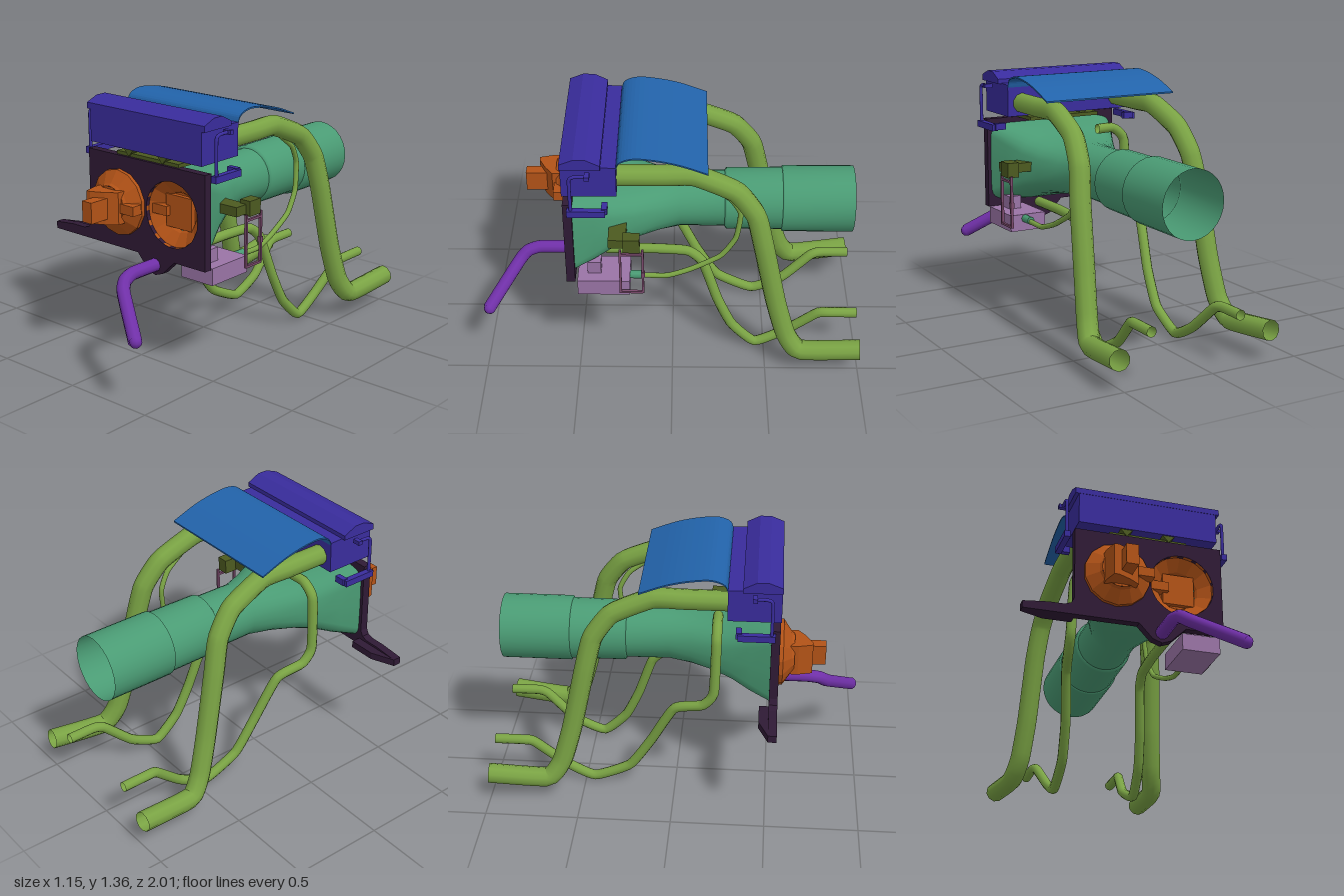
import * as THREE from 'three';

const CX = 0.0875, CY = 0.845; // duct axis, also the mirror plane in x
const mat = (color, side = THREE.FrontSide, flatShading = false) =>
  new THREE.MeshStandardMaterial({ color, side, flatShading });
const D = THREE.DoubleSide;
const M = {
  duct: mat(0x4a9b74, D), pipe: mat(0x7aa344, D), navy: mat(0x392c9c), sheet: mat(0x2263aa, D),
  plate: mat(0x2f1a35), lamp: mat(0xb35317, D, true), purple: mat(0x7030a8, D),
  mauve: mat(0x9a74a6), frame: mat(0x7a4a6c), olive: mat(0x4c5a20),
};

export function createModel() {
  const root = new THREE.Group();
  const add = (name, geo, material, parent = root) => {
    const m = new THREE.Mesh(geo, material);
    m.name = name;
    parent.add(m);
    return m;
  };
  // box from its min and max corners
  const box = (name, a, b, material, parent) => {
    const g = new THREE.BoxGeometry(b[0] - a[0], b[1] - a[1], b[2] - a[2]);
    g.translate((a[0] + b[0]) / 2, (a[1] + b[1]) / 2, (a[2] + b[2]) / 2);
    return add(name, g, material, parent);
  };
  const poly = pts => new THREE.Shape(pts.map(p => new THREE.Vector2(...p)));
  const extrude = (shape, depth) => new THREE.ExtrudeGeometry(shape, { depth, bevelEnabled: false, curveSegments: 14 });
  // (z, y) profile extruded along x from x0 to x1
  const alongX = (pts, x0, x1) => extrude(poly(pts), x1 - x0).rotateY(-Math.PI / 2).scale(1, 1, 1).translate(x1, 0, 0);
  // (x, z) profile extruded along y from y0 to y1
  const alongY = (pts, y0, y1) => extrude(poly(pts), y1 - y0).rotateX(Math.PI / 2).translate(0, y1, 0);
  const pipe = (name, pts, r, material = M.pipe) => {
    const c = new THREE.CatmullRomCurve3(pts.map(p => new THREE.Vector3(...p)), false, 'catmullrom', 0.25);
    return add(name, new THREE.TubeGeometry(c, pts.length * 7, r, 10), material);
  };
  const mirror = pts => pts.map(([x, y, z]) => [2 * CX - x, y, z]);

  // Face plate with a round opening, side fin and lower tab
  const face = poly([[-0.575, 0.597], [0.03, 0.597], [0.1, 0.52], [0.15, 0.502], [0.2, 0.52], [0.28, 0.597],
    [0.485, 0.597], [0.485, 1.09], [-0.31, 1.09], [-0.31, 0.69], [-0.325, 0.66], [-0.36, 0.648], [-0.44, 0.648], [-0.575, 0.635]]);
  face.holes.push(new THREE.Path().absarc(0.265, CY, 0.172, 0, Math.PI * 2, true));
  add('facePlate', extrude(face, 0.045).translate(0, 0, 0.5), M.plate);
  add('sideFin', alongY([[-0.575, 0.5], [-0.45, 0.45], [-0.3, 0.45], [-0.3, 0.54], [-0.575, 0.54]], 0.598, 0.636), M.plate);

  // Twin lamps: one stands proud, the other is the same form turned inward
  const makeLamp = name => {
    const g = new THREE.Group();
    g.name = name;
    const rim = [[0.174, 0], [0.174, 0.02], [0.11, 0.065], [0.1, 0.08]].map(p => new THREE.Vector2(...p));
    add('lampDish', new THREE.LatheGeometry(rim, 14).rotateX(Math.PI / 2), M.lamp, g);
    const cap = new THREE.Shape().absarc(0, 0, 0.1, 0, Math.PI * 2);
    cap.holes.push(new THREE.Path([[-0.07, -0.07], [-0.07, 0.07], [0.07, 0.07], [0.07, -0.07]].map(p => new THREE.Vector2(...p))));
    add('lampFace', new THREE.ShapeGeometry(cap, 7).translate(0, 0, 0.08), M.lamp, g);
    add('lampHousing', alongY([[-0.085, 0.055], [0.085, 0.055], [0.085, 0.1], [0.03, 0.14], [-0.04, 0.175], [-0.065, 0.175], [-0.085, 0.1]],
      -0.085, 0.085), M.lamp, g);
    box('lampNose', [-0.025, -0.055, 0.1], [0.04, 0.055, 0.245], M.lamp, g);
    box('lampArm', [0.06, -0.025, 0.03], [0.176, 0.025, 0.09], M.lamp, g);
    g.position.set(-0.089, CY, 0.545);
    root.add(g);
    return g;
  };
  makeLamp('outerLamp');
  const inner = makeLamp('innerLamp');
  inner.position.x = 0.264;
  inner.rotation.y = Math.PI;

  // Duct: rounded rectangle narrowing to a round pipe, then two sleeves
  const loft = sections => {
    const n = 28, pos = [], idx = [];
    sections.forEach(([z, hx, hy, e], s) => {
      for (let i = 0; i < n; i++) {
        const a = i / n * Math.PI * 2, c = Math.cos(a), q = Math.sin(a);
        pos.push(CX + hx * Math.sign(c) * Math.abs(c) ** (2 / e), CY + hy * Math.sign(q) * Math.abs(q) ** (2 / e), z);
        if (s) {
          const j = (i + 1) % n, p = (s - 1) * n, t = s * n;
          idx.push(p + i, t + i, t + j, p + i, t + j, p + j);
        }
      }
    });
    const g = new THREE.BufferGeometry();
    g.setAttribute('position', new THREE.Float32BufferAttribute(pos, 3));
    g.setIndex(idx.map((_, k) => idx[k - k % 3 + [0, 2, 1][k % 3]]).reverse());
    g.computeVertexNormals();
    return g;
  };
  add('ductFunnel', loft([[0.5, 0.38, 0.217, 8], [0.4, 0.34, 0.2, 5], [0.3, 0.295, 0.168, 3.5], [0.2, 0.25, 0.15, 2.8],
    [0.08, 0.195, 0.144, 2.3], [-0.04, 0.148, 0.145, 2], [-0.28, 0.148, 0.148, 2]]), M.duct);
  add('ductSleeve', loft([[-0.27, 0.148, 0.148, 2], [-0.28, 0.163, 0.163, 2], [-0.58, 0.165, 0.165, 2]]), M.duct);
  add('ductEnd', loft([[-0.57, 0.165, 0.165, 2], [-0.575, 0.175, 0.175, 2], [-0.945, 0.175, 0.175, 2]]), M.duct);

  // Top box with lid and curved cover sheet
  add('topBox', alongX([[0.275, 1.13], [0.548, 1.13], [0.548, 1.31], [0.275, 1.3]], -0.29, 0.465), M.navy);
  add('boxLid', alongX([[0.35, 1.3], [0.55, 1.3], [0.55, 1.332], [0.48, 1.36], [0.42, 1.36], [0.35, 1.325]], -0.31, 0.485), M.navy);
  const arc = new THREE.CatmullRomCurve3([[0.275, 1.295], [0.26, 1.33], [0.2, 1.355], [0.1, 1.35], [-0.03, 1.322], [-0.175, 1.268]]
    .map(([z, y]) => new THREE.Vector3(z, y, 0))).getPoints(20).map(p => [p.x, p.y]);
  add('coverSheet', alongX([...arc, ...arc.map(([z, y]) => [z, y - 0.008]).reverse()], -0.29, 0.465), M.sheet);

  // Lid arms and hinge brackets on both sides
  for (const s of [-1, 1]) {
    const x = CX + s * 0.43;
    const arm = [[x, 1.285, 0.4], [x, 1.285, 0.47], [x, 1.265, 0.5], [x, 1.07, 0.5]];
    pipe('lidArm', arm, 0.009, M.navy);
    box('lidPivot', [x - 0.022, 1.275, 0.4], [x + 0.022, 1.297, 0.425], M.navy);
    box('hingeBar', [x - 0.016, 1.05, 0.33], [x + 0.016, 1.085, 0.52], M.navy);
    const bx = x - s * 0.03;
    box('hingeFoot', [bx - 0.03, 1.055, 0.32], [bx + 0.03, 1.09, 0.35], M.navy);
  }
  // Wedge supports between plate and box
  for (const x of [-0.03, 0.2])
    add('wedgeSupport', extrude(poly([[x, 1.092], [x + 0.033, 1.13], [x - 0.033, 1.13]]), 0.19).translate(0, 0, 0.35), M.olive);
  box('topRail', [-0.12, 1.088, 0.34], [0.3, 1.108, 0.53], M.olive);

  // Main pipes, mirrored
  const main = [[-0.205, 1.2, 0.28], [-0.205, 1.2, 0.05], [-0.205, 1.2, -0.11], [-0.22, 1.11, -0.32], [-0.24, 0.98, -0.42],
    [-0.26, 0.8, -0.465], [-0.28, 0.45, -0.54], [-0.3, 0.24, -0.6], [-0.325, 0.14, -0.68], [-0.35, 0.165, -1]];
  pipe('mainPipeRight', main, 0.054);
  pipe('mainPipeLeft', mirror(main), 0.054);

  // Slender lower pipes share one tail
  const tail = [[-0.14, 0.03, -0.45], [-0.135, 0.11, -0.62], [-0.16, 0.255, -0.78], [-0.17, 0.27, -0.84], [-0.17, 0.27, -0.99]];
  pipe('lowerPipeRight', [[-0.05, 1.03, 0.22], [-0.15, 1.03, 0.22], [-0.22, 0.96, 0.22], [-0.235, 0.66, 0.21], [-0.23, 0.58, 0.15],
    [-0.2, 0.535, 0], [-0.165, 0.3, -0.13], [-0.15, 0.12, -0.25], ...tail], 0.027);
  pipe('lowerPipeLeft', [[0.25, 0.63, 0.35], [0.25, 0.63, 0.1], [0.255, 0.62, -0.08], [0.265, 0.55, -0.16],
    [0.29, 0.32, -0.24], [0.305, 0.15, -0.32], ...mirror(tail)], 0.027);
  pipe('thinLine', [[0.4, 0.575, 0.24], [0.4, 0.57, 0.03], [0.39, 0.61, -0.1], [0.38, 0.69, -0.25], [0.37, 0.8, -0.325],
    [0.36, 0.95, -0.345], [0.37, 1.05, -0.29], [0.38, 1.15, -0.15]], 0.014);

  // Front crank pipe
  pipe('crankPipe', [[0.15, 0.557, 0.5], [0.15, 0.557, 0.71], [0.165, 0.54, 0.78], [0.2, 0.5, 0.825], [0.42, 0.35, 0.975]], 0.035, M.purple);
  const tip = add('crankTip', new THREE.SphereGeometry(0.034, 10, 6), M.purple);
  tip.scale.setScalar(0.95);
  tip.position.set(0.42, 0.35, 0.972);

  // Side box, its neck and fitting
  box('sideBox', [0.28, 0.51, 0.22], [0.485, 0.6, 0.49], M.mauve);
  box('boxNeck', [0.35, 0.595, 0.37], [0.42, 0.67, 0.44], M.mauve);
  add('lineFitting', new THREE.CylinderGeometry(0.022, 0.022, 0.08, 8).rotateX(Math.PI / 2).translate(0.4, 0.577, 0.19), M.duct);

  // Side bracket carrying a wire frame
  box('sideBracket', [0.46, 0.82, 0.165], [0.525, 0.9, 0.25], M.olive);
  box('bracketArm', [0.3, 0.83, 0.235], [0.5, 0.88, 0.325], M.olive);
  for (const z of [0.15, 0.265]) box('frameUpright', [0.506, 0.55, z - 0.006], [0.52, 0.83, z + 0.006], M.frame);
  for (const y of [0.555, 0.8]) box('frameRail', [0.506, y - 0.006, 0.15], [0.52, y + 0.006, 0.265], M.frame);
  box('frameKnob', [0.503, 0.66, 0.14], [0.523, 0.69, 0.16], M.frame);
  return root;
}
